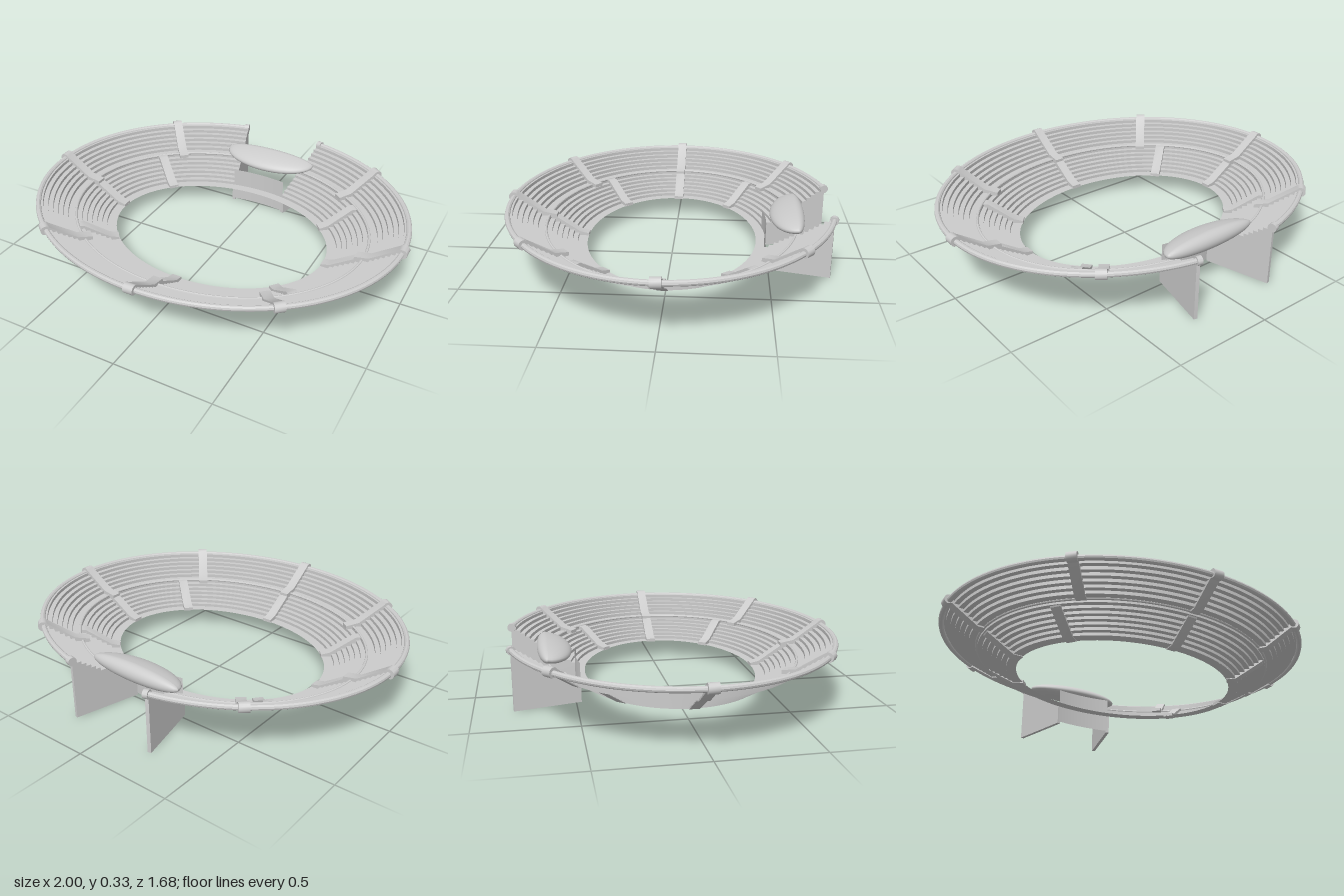
import * as THREE from 'three';
import { toCreasedNormals } from 'three/addons/utils/BufferGeometryUtils.js';

// Inner edge half-axes; d is the distance outward from that edge
const A = 0.585, B = 0.44;
const BACK = -Math.PI / 2, GAP = THREE.MathUtils.degToRad(14);

const material = new THREE.MeshStandardMaterial({ color: 0xcccccc, side: THREE.DoubleSide });

function mesh(name, geometry) {
  const m = new THREE.Mesh(geometry, material);
  m.name = name;
  return m;
}

// Sweep a (d, y) profile around the oval between two angles
function sweep(profile, from, to, segments) {
  const pos = [], idx = [], n = profile.length;
  for (let i = 0; i <= segments; i++) {
    const t = from + (to - from) * i / segments;
    for (const [d, y] of profile) pos.push((A + d) * Math.cos(t), y, (B + d) * Math.sin(t));
  }
  for (let i = 0; i < segments; i++) {
    for (let j = 0; j < n - 1; j++) {
      const a = i * n + j, b = a + n;
      idx.push(a, b, a + 1, b, b + 1, a + 1);
    }
  }
  const g = new THREE.BufferGeometry();
  g.setAttribute('position', new THREE.Float32BufferAttribute(pos, 3));
  g.setIndex(idx);
  return toCreasedNormals(g, 0.6);
}

// Place a flat (d, y) outline as a slab pointing outward at an angle
function radialSlab(name, outline, width, angle) {
  const shape = new THREE.Shape(outline.map(([d, y]) => new THREE.Vector2(d, y)));
  const g = new THREE.ExtrudeGeometry(shape, { depth: width, bevelEnabled: false, curveSegments: 6 });
  g.translate(0, 0, -width / 2);
  const m = mesh(name, toCreasedNormals(g, 0.6));
  m.position.set(A * Math.cos(angle), 0, B * Math.sin(angle));
  m.rotation.y = -angle;
  return m;
}

// Rows of steps from (d, y), each a riser followed by a tread
function steps(d, y, count, run, rise) {
  const pts = [];
  for (let i = 0; i < count; i++) {
    pts.push([d, y + rise]);
    d += run;
    y += rise;
    pts.push([d, y]);
  }
  return pts;
}

function arc(cx, cy, r, from, to, n) {
  return Array.from({ length: n + 1 }, (_, i) => {
    const t = from + (to - from) * i / n;
    return [cx + r * Math.cos(t), cy + r * Math.sin(t)];
  });
}

export function createModel() {
  const model = new THREE.Group();
  const start = BACK + GAP, end = BACK + 2 * Math.PI - GAP;

  // Seating bowl: two tiers with a walkway between them
  const lower = [[0.05, 0.1], ...steps(0.05, 0.1, 6, 0.025, 0.015)];
  const upper = [[0.2, 0.19], [0.2, 0.207], [0.245, 0.207], ...steps(0.245, 0.207, 6, 0.024, 0.0165)];
  model.add(mesh('lowerTier', sweep(lower, start, end, 120)));
  model.add(mesh('upperTier', sweep(upper, start, end, 120)));

  // Innermost tread runs all the way round
  model.add(mesh('innerWalkway', sweep([[0, 0.1], [0.05, 0.1]], BACK, BACK + 2 * Math.PI, 128)));

  // Rounded rails on the rim and at the front of the upper tier
  model.add(mesh('rimRail', sweep(arc(0.388, 0.303, 0.014, 0, 2 * Math.PI, 10), start, end, 120)));
  model.add(mesh('upperTierRail', sweep(arc(0.205, 0.206, 0.007, 0, 2 * Math.PI, 8), start, end, 120)));

  // Stairs lying over the rows
  const lowerStair = [[0, 0.095], [0.05, 0.097], [0.19, 0.183], [0.2, 0.207], [0.175, 0.207], [0.045, 0.122], [0, 0.112]];
  const upperStair = [[0.165, 0.197], [0.24, 0.2], [0.375, 0.288],
    ...arc(0.39, 0.306, 0.025, -1.2, 2.6, 10), [0.235, 0.228], [0.165, 0.215]];
  for (const deg of [0, 40, 90, 140, 180, 220, 320]) {
    model.add(radialSlab('lowerStair', lowerStair, 0.05, THREE.MathUtils.degToRad(deg)));
  }
  for (const deg of [0, 50, 90, 130, 180, 230, 310]) {
    model.add(radialSlab('upperStair', upperStair, 0.05, THREE.MathUtils.degToRad(deg)));
  }

  // Side walls of the entrance, cut to the step line, with rounded rail ends
  const panel = [[0.05, 0], [0.39, 0], [0.39, 0.3], ...upper.slice().reverse(), ...lower.slice(0, -1).reverse()];
  const cap = arc(0.388, 0.303, 0.022, 0, 2 * Math.PI, 16).slice(0, -1);
  for (const s of [-1, 1]) {
    const angle = BACK + s * GAP;
    model.add(radialSlab('entranceWall', panel, 0.018, angle));
    model.add(radialSlab('railEnd', cap, 0.025, angle));
  }

  // Curved wall closing the entrance at its inner end
  model.add(mesh('entranceBackWall', sweep([[0.05, 0.01], [0.05, 0.2]], BACK - GAP, BACK + GAP, 16)));

  // Lens-shaped canopy, deeper towards the field than at the back
  const dome = new THREE.SphereGeometry(1, 40, 20);
  const p = dome.attributes.position;
  for (let i = 0; i < p.count; i++) {
    const z = p.getZ(i);
    p.setXYZ(i, p.getX(i) * 0.265, p.getY(i) * 0.045, z * (z > 0 ? 0.13 : 0.045));
  }
  dome.computeVertexNormals();
  const canopy = mesh('canopy', dome);
  canopy.position.set(0, 0.25, -0.635);
  canopy.rotation.x = 0.15;
  model.add(canopy);

  return model;
}
